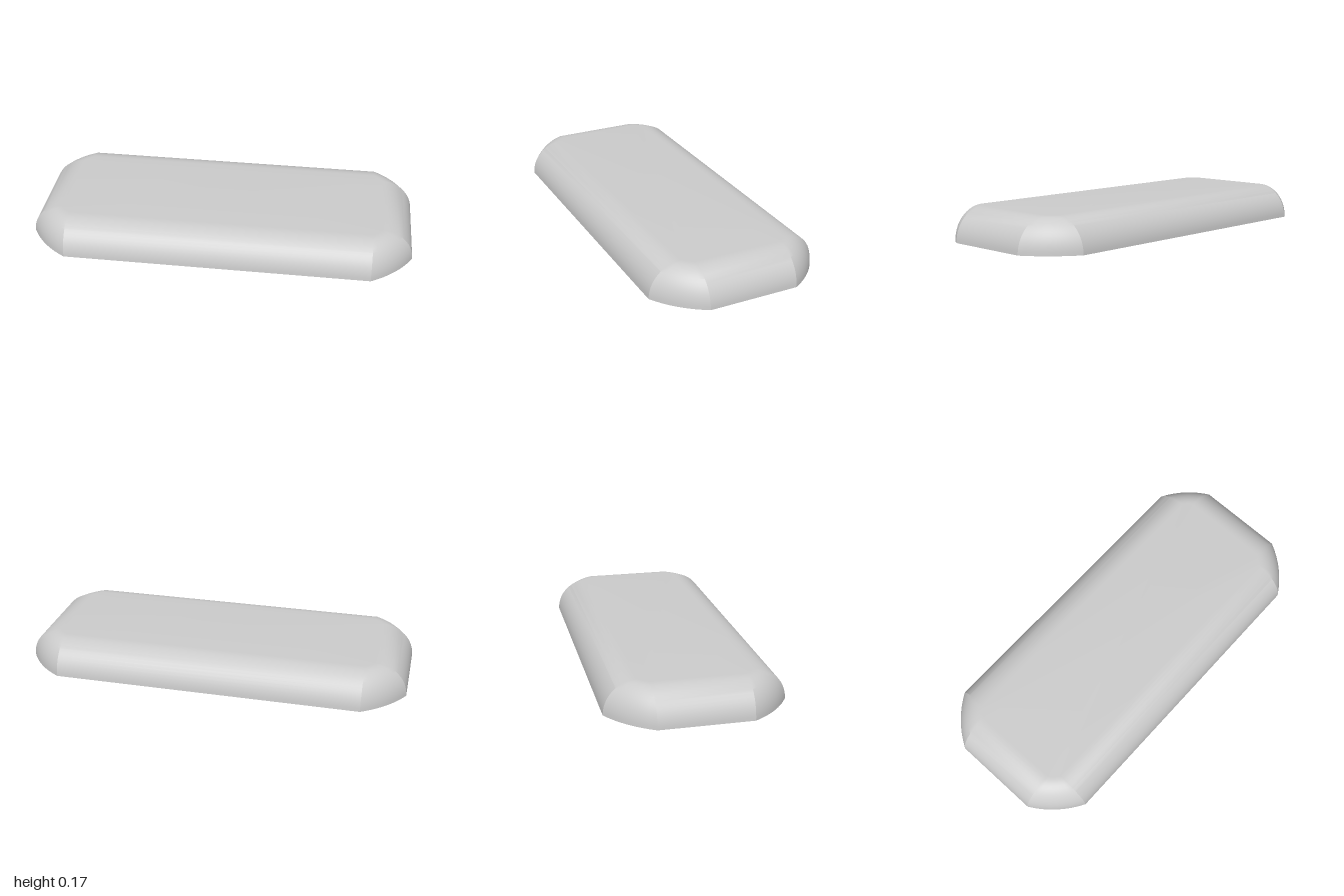
import * as THREE from 'three';
import { toCreasedNormals } from 'three/addons/utils/BufferGeometryUtils.js';

const HEIGHT = 0.167;          // also the radius of the rounded rim
const FLAT_X = 0.79, FLAT_Z = 0.23; // where the straight sides end
const TOP_X = 0.833, TOP_Z = 0.276; // half size of the flat top
const RIM_STEPS = 14, CORNER_STEPS = 8;

// One corner of the outline, from the end side to the long side, gently bowed
function corner(offset) {
  const a = new THREE.Vector2(TOP_X + offset, FLAT_Z);
  const b = new THREE.Vector2(FLAT_X, TOP_Z + offset);
  const bow = a.distanceTo(b) * 0.1;
  const mid = a.clone().add(b).multiplyScalar(0.5).addScalar(bow);
  return new THREE.QuadraticBezierCurve(a, mid, b).getPoints(CORNER_STEPS);
}

// Full outline, mirrored into all four corners
function outline(offset) {
  const c = corner(offset);
  const half = [...c, ...c.map(p => new THREE.Vector2(-p.x, p.y)).reverse()];
  return [...half, ...half.map(p => new THREE.Vector2(-p.x, -p.y))];
}

function shellGeometry() {
  const positions = [], index = [];
  let n = 0;
  // Stacked outlines follow a quarter circle up to the top
  for (let j = 0; j <= RIM_STEPS; j++) {
    const t = (j / RIM_STEPS) * Math.PI / 2;
    const ring = outline(HEIGHT * Math.cos(t));
    n = ring.length;
    for (const p of ring) positions.push(p.x, HEIGHT * Math.sin(t), p.y);
  }
  for (let j = 0; j < RIM_STEPS; j++) {
    for (let i = 0; i < n; i++) {
      const a = j * n + i, b = j * n + (i + 1) % n;
      index.push(a, a + n, b, b, a + n, b + n);
    }
  }
  // Flat top; the underside stays open
  const centre = positions.length / 3, last = RIM_STEPS * n;
  positions.push(0, HEIGHT, 0);
  for (let i = 0; i < n; i++) index.push(centre, last + (i + 1) % n, last + i);

  const geometry = new THREE.BufferGeometry();
  geometry.setAttribute('position', new THREE.Float32BufferAttribute(positions, 3));
  geometry.setIndex(index);
  return toCreasedNormals(geometry, THREE.MathUtils.degToRad(20));
}

export function createModel() {
  const group = new THREE.Group();
  group.name = 'roundedCover';
  const material = new THREE.MeshStandardMaterial({ color: 0xcccccc, side: THREE.DoubleSide });
  const shell = new THREE.Mesh(shellGeometry(), material);
  shell.name = 'coverShell';
  group.add(shell);
  return group;
}
